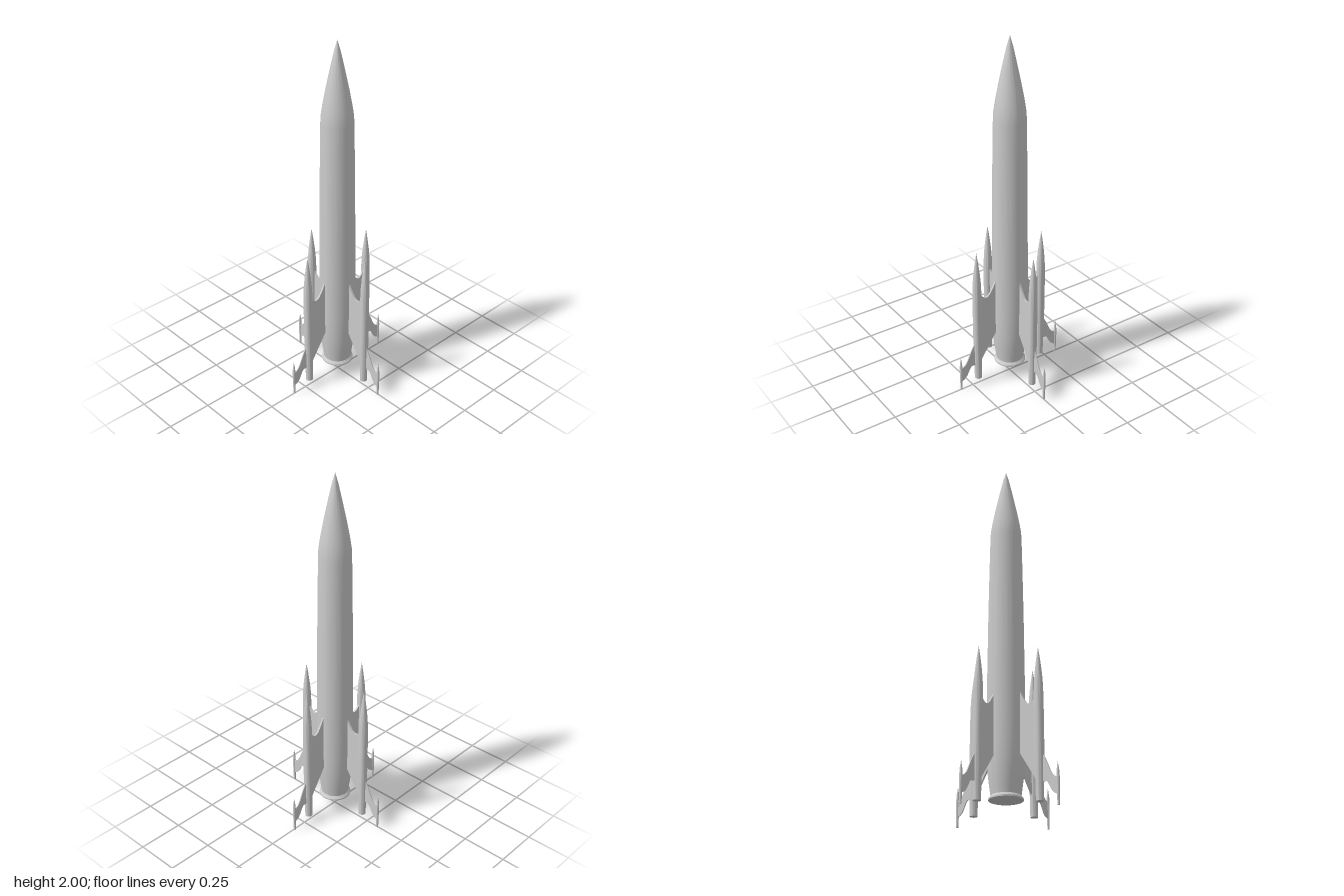
import * as THREE from 'three';
import { toCreasedNormals } from 'three/addons/utils/BufferGeometryUtils.js';

const material = new THREE.MeshStandardMaterial({ color: 0xcccccc });

function part(name, geometry) {
  const mesh = new THREE.Mesh(geometry, material);
  mesh.name = name;
  return mesh;
}

// Solid of revolution from [radius, height] pairs, bottom to top
function turned(name, profile, segments) {
  const points = profile.map(([r, y]) => new THREE.Vector2(r, y));
  return part(name, toCreasedNormals(new THREE.LatheGeometry(points, segments), 0.5));
}

// Thin plate in the xy plane, centred on z = 0
function plate(name, shape, thickness) {
  const geometry = new THREE.ExtrudeGeometry(shape, { depth: thickness, bevelEnabled: false, curveSegments: 12 });
  geometry.translate(0, 0, -thickness / 2);
  return part(name, toCreasedNormals(geometry, 0.5));
}

// One arm reaching along +x: inner fin, booster, outer fin and landing foot
function createArm() {
  const arm = new THREE.Group();

  const inner = new THREE.Shape();
  inner.moveTo(0.07, 0.37);
  inner.lineTo(0.098, 0.3);
  inner.quadraticCurveTo(0.13, 0.25, 0.197, 0.15);
  inner.lineTo(0.217, 0.15);
  inner.lineTo(0.217, 0.6);
  inner.lineTo(0.197, 0.585);
  inner.bezierCurveTo(0.175, 0.54, 0.15, 0.535, 0.125, 0.58);
  inner.quadraticCurveTo(0.105, 0.61, 0.095, 0.64);
  inner.lineTo(0.07, 0.64);
  arm.add(plate('innerFin', inner, 0.01));

  const outer = new THREE.Shape();
  outer.moveTo(0.217, 0.13);
  outer.lineTo(0.255, 0.13);
  outer.bezierCurveTo(0.28, 0.13, 0.28, 0.06, 0.33, 0.053);
  outer.lineTo(0.33, 0.138);
  outer.bezierCurveTo(0.28, 0.148, 0.285, 0.2, 0.24, 0.268);
  outer.lineTo(0.217, 0.28);
  arm.add(plate('outerFin', outer, 0.006));

  const booster = turned('booster', [
    [0, 0.037], [0.02, 0.037], [0.021, 0.12], [0.0235, 0.22], [0.025, 0.34],
    [0.025, 0.5], [0.024, 0.6], [0.022, 0.66], [0.017, 0.72], [0.009, 0.785], [0, 0.845],
  ], 32);
  booster.position.x = 0.217;
  arm.add(booster);

  const foot = turned('landingFoot', [
    [0, 0], [0.006, 0], [0.007, 0.05], [0.008, 0.1],
    [0.008, 0.145], [0.006, 0.175], [0, 0.213],
  ], 16);
  foot.position.x = 0.33;
  arm.add(foot);
  return arm;
}

export function createModel() {
  const rocket = new THREE.Group();
  rocket.name = 'rocket';

  // Hull with flared tail ring and tapered nose
  const hull = turned('hull', [
    [0, 0.08], [0.088, 0.08], [0.088, 0.088], [0.077, 0.102], [0.082, 0.14], [0.09, 0.2],
    [0.096, 0.28], [0.0985, 0.38], [0.099, 0.5], [0.0985, 0.65], [0.0965, 0.85], [0.094, 1.1],
    [0.09, 1.35], [0.086, 1.56], [0.084, 1.6], [0.075, 1.66], [0.058, 1.75], [0.037, 1.85],
    [0.017, 1.94], [0, 2],
  ], 64);
  hull.position.x = -0.003;
  rocket.add(hull);

  // Four arms around the tail, with the small offset of each
  const arms = [
    ['leftArm', -0.005, 0.001],
    ['backArm', -0.003, 0],
    ['rightArm', 0.005, -0.001],
    ['frontArm', -0.003, 0],
  ];
  arms.forEach(([name, x, z], i) => {
    const arm = createArm();
    arm.name = name;
    arm.position.set(x, 0, z);
    arm.rotation.y = (i * Math.PI) / 2;
    rocket.add(arm);
  });
  return rocket;
}
